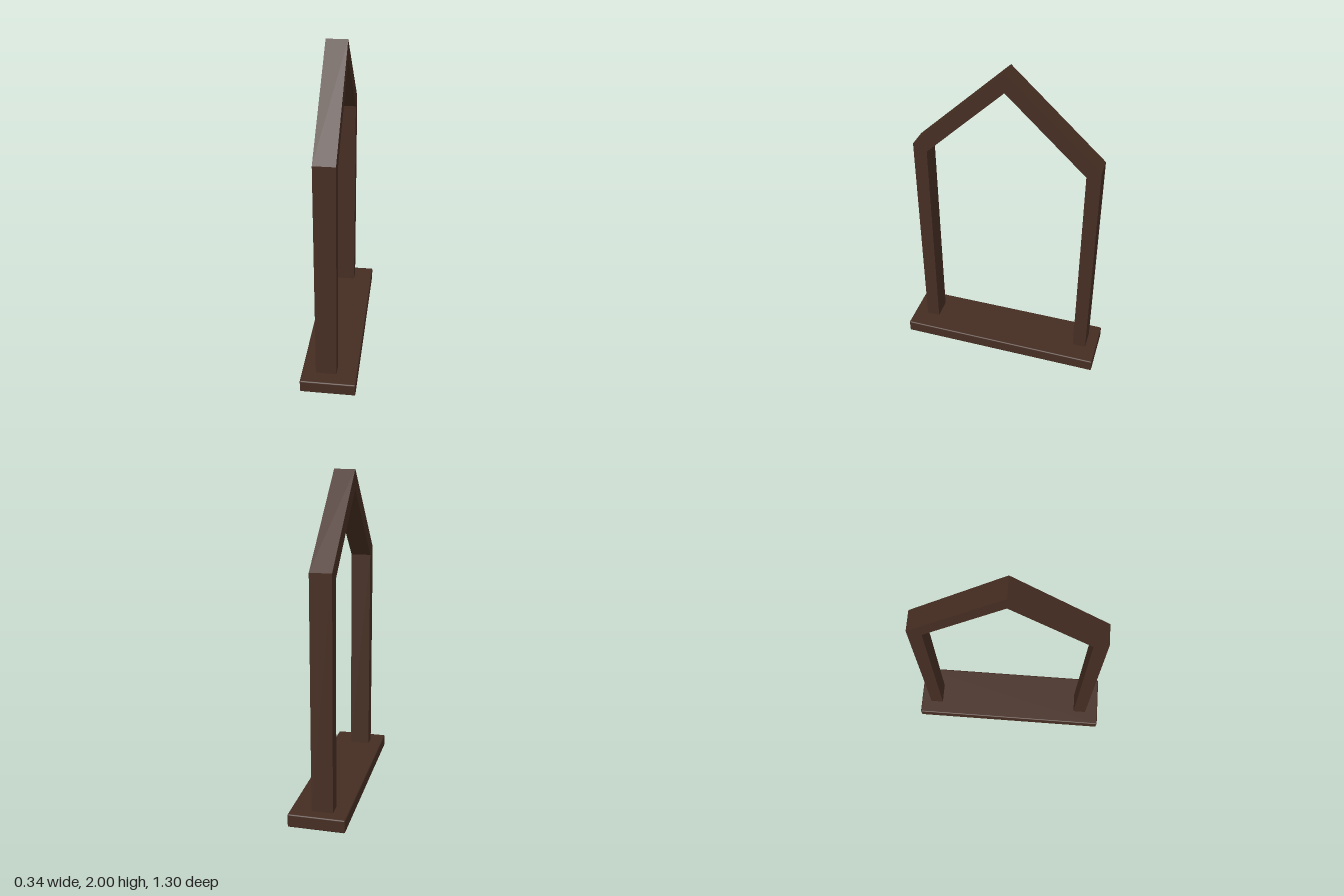
import * as THREE from 'three';
import { RoundedBoxGeometry } from 'three/addons/geometries/RoundedBoxGeometry.js';

export function createModel() {
  const group = new THREE.Group();
  const darkWood = new THREE.MeshStandardMaterial({ color: 0x452d22 });
  darkWood.name = 'dark wood';

  // Slab base with slightly softened edges
  const base = new THREE.Mesh(new RoundedBoxGeometry(0.34, 0.08, 1.3, 2, 0.008), darkWood);
  base.name = 'base';
  base.position.y = 0.04;
  group.add(base);

  // Gabled frame: two posts and two rafters, outlined as (z, y)
  const outline = [
    [-0.58, 0.07], [-0.495, 0.07], [-0.495, 1.43], [-0.01, 1.885],
    [0.475, 1.43], [0.475, 0.07], [0.56, 0.07], [0.56, 1.473],
    [-0.01, 2], [-0.58, 1.473],
  ].map(([z, y]) => new THREE.Vector2(z, y));
  const frameGeometry = new THREE.ExtrudeGeometry(new THREE.Shape(outline), {
    depth: 0.128, bevelEnabled: false,
  });
  frameGeometry.rotateY(-Math.PI / 2).translate(0.045, 0, 0);
  const frame = new THREE.Mesh(frameGeometry, darkWood);
  frame.name = 'gabledFrame';
  group.add(frame);

  return group;
}
